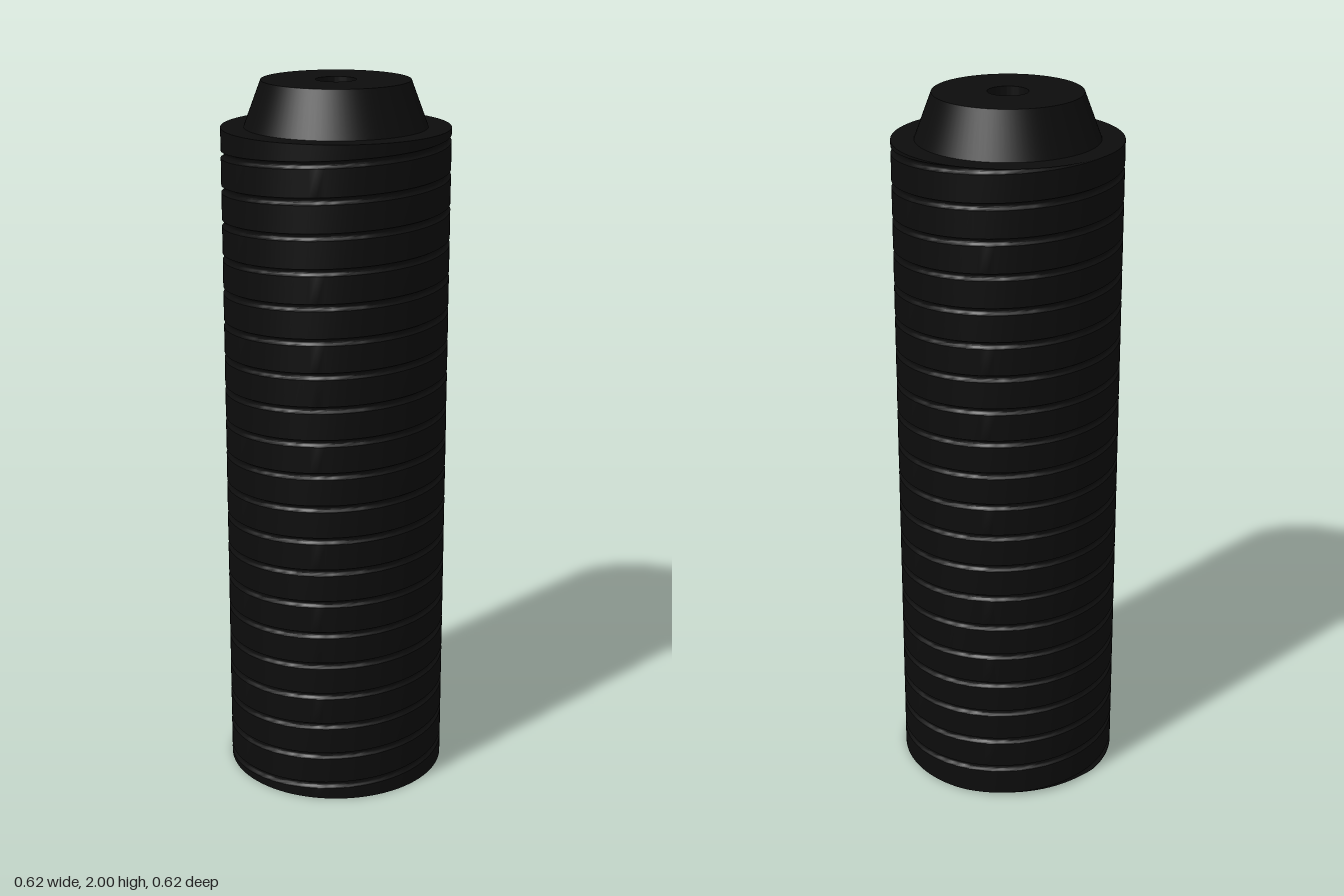
import * as THREE from 'three';
import { toCreasedNormals } from 'three/addons/utils/BufferGeometryUtils.js';

const R = 0.3125, BODY_H = 1.875, TURNS = 20, PITCH = BODY_H / TURNS;
const GROOVE = 0.01; // radius of the half-round groove
const SEG = 96;

// Shaft radius at a height offset from the groove centre
function grooveRadius(offset) {
  const d = offset - PITCH * Math.round(offset / PITCH);
  return R - Math.sqrt(Math.max(0, GROOVE * GROOVE - d * d));
}

// Cylinder wall whose rows follow a right-handed helical groove, trimmed flat at both ends
function groovedWall() {
  const offsets = [-1, -0.8, -0.4, 0, 0.4, 0.8, 1].map((s) => s * GROOVE);
  const rows = [];
  for (let k = -2; k <= TURNS + 1; k++) for (const o of offsets) rows.push(k * PITCH + o);

  const point = (row, i) => {
    const rise = (i / SEG + 0.75) * PITCH;
    const y = THREE.MathUtils.clamp(row + rise, 0, BODY_H);
    const r = grooveRadius(y - rise);
    const t = ((i % SEG) / SEG) * Math.PI * 2;
    return new THREE.Vector3(r * Math.cos(t), y, -r * Math.sin(t));
  };

  const pos = [];
  const tri = (a, b, c) => {
    const area = b.clone().sub(a).cross(c.clone().sub(a)).length();
    if (area > 1e-9) pos.push(...a.toArray(), ...b.toArray(), ...c.toArray());
  };
  for (let j = 0; j < rows.length - 1; j++) {
    for (let i = 0; i < SEG; i++) {
      const a = point(rows[j], i), b = point(rows[j], i + 1);
      const c = point(rows[j + 1], i + 1), d = point(rows[j + 1], i);
      tri(a, b, c);
      tri(a, c, d);
    }
  }
  const g = new THREE.BufferGeometry();
  g.setAttribute('position', new THREE.Float32BufferAttribute(pos, 3));
  return toCreasedNormals(g, 0.6);
}

export function createModel() {
  const group = new THREE.Group();
  const black = new THREE.MeshStandardMaterial({ color: 0x0c0c0c });
  const add = (name, geometry) => {
    const mesh = new THREE.Mesh(geometry, black);
    mesh.name = name;
    group.add(mesh);
    return mesh;
  };

  // Shaft with the spiral groove
  add('groovedShaft', groovedWall());

  // Flat base
  add('base', new THREE.CircleGeometry(R, SEG)).rotation.x = Math.PI / 2;

  // Shoulder, tapered neck and the small blind hole in its top
  const profile = [
    [R, BODY_H], [0.25, BODY_H], [0.203, 2], [0.055, 2], [0.055, 1.94], [0, 1.94],
  ].map(([x, y]) => new THREE.Vector2(x, y));
  add('taperedNeck', toCreasedNormals(new THREE.LatheGeometry(profile, SEG), 0.5));

  return group;
}
